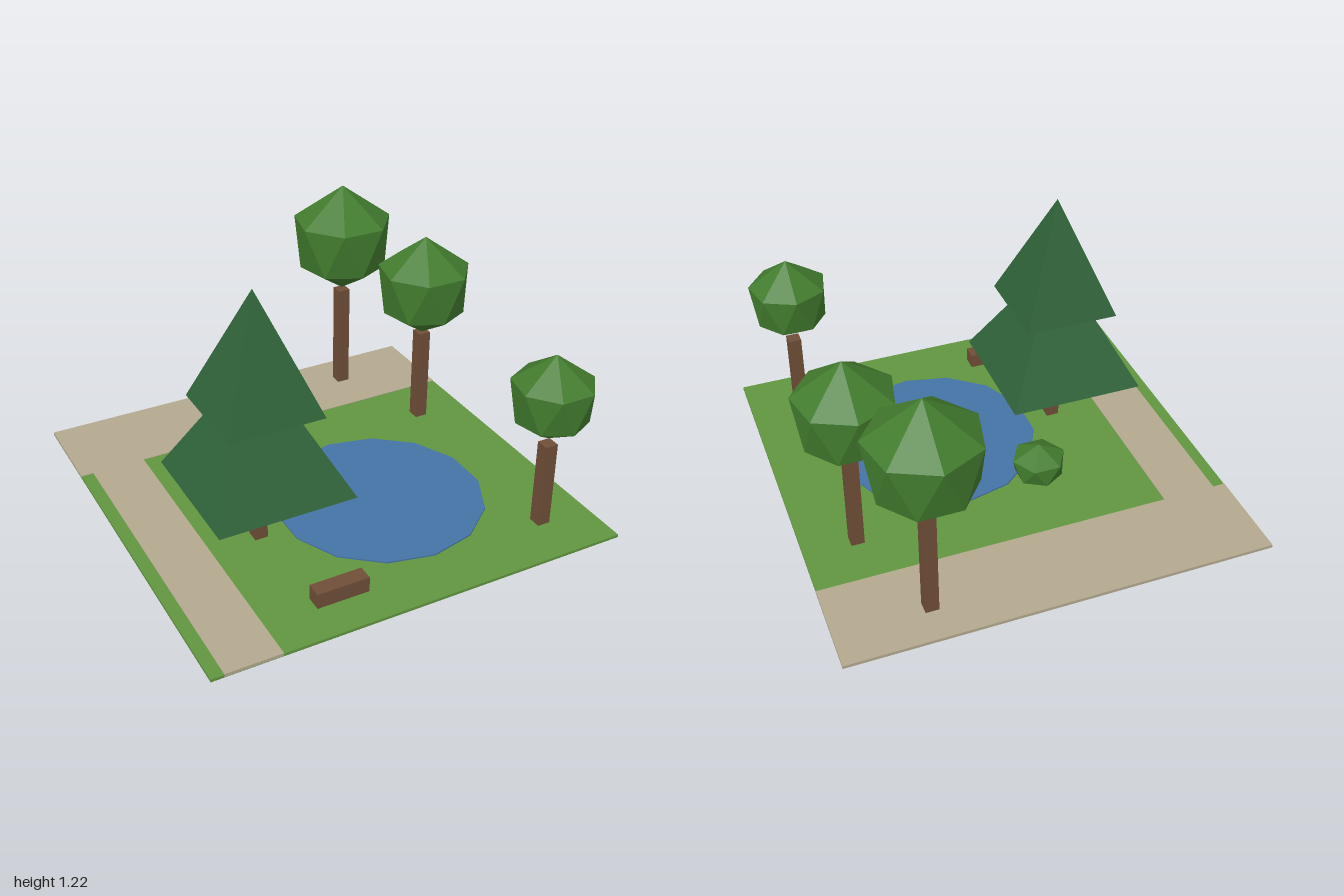
import * as THREE from 'three';
import { ConvexGeometry } from 'three/addons/geometries/ConvexGeometry.js';

const material = (name, color, flatShading = true) => {
  const m = new THREE.MeshStandardMaterial({ color, flatShading });
  m.name = name;
  return m;
};

export function createModel() {
  const park = new THREE.Group();
  park.name = 'park';

  const grass = material('grass green', 0x619640);
  const sand = material('path beige', 0xb3a98f);
  const water = material('water blue', 0x4573a6);
  const wood = material('wood brown', 0x6f4e37);
  const leaves = material('leaf green', 0x427c2e);
  const needles = material('pine green', 0x2f6339);

  const add = (name, geometry, mat, x = 0, y = 0, z = 0, parent = park) => {
    const mesh = new THREE.Mesh(geometry, mat);
    mesh.name = name;
    mesh.position.set(x, y, z);
    parent.add(mesh);
    return mesh;
  };

  // Box given by its limits on each axis
  const block = (name, mat, [x0, x1], [y0, y1], [z0, z1], parent) =>
    add(name, new THREE.BoxGeometry(x1 - x0, y1 - y0, z1 - z0), mat,
      (x0 + x1) / 2, (y0 + y1) / 2, (z0 + z1) / 2, parent);

  // Faceted foliage: a tip, two staggered rings and a lower tip
  const foliage = (sides, radius, half, turn = 0) => {
    const points = [new THREE.Vector3(0, half, 0), new THREE.Vector3(0, -half, 0)];
    for (let i = 0; i < sides; i++) {
      const a = turn + (i / sides) * Math.PI * 2;
      const b = a + Math.PI / sides;
      const low = radius * 0.885;
      points.push(new THREE.Vector3(Math.sin(a) * radius, half * 0.36, -Math.cos(a) * radius));
      points.push(new THREE.Vector3(Math.sin(b) * low, -half * 0.5, -Math.cos(b) * low));
    }
    return new ConvexGeometry(points);
  };

  // Ground, paths and pond
  block('lawn', grass, [-0.967, 0.965], [0.015, 0.028], [-0.938, 1]);
  block('backPath', sand, [-0.968, 0.966], [0.016, 0.031], [-0.939, -0.51]);
  block('sidePath', sand, [-0.91, -0.66], [0.016, 0.031], [-0.51, 1]);
  add('pond', new THREE.CylinderGeometry(0.483, 0.483, 0.016, 14), water, 0.18, 0.027, 0.272);

  // Round trees: x, z, trunk top, crown centre height, crown radius, crown half height
  const trees = [
    [0.543, -0.757, 0.559, 0.841, 0.243, 0.274],
    [0.723, -0.27, 0.497, 0.745, 0.221, 0.25],
    [0.723, 0.757, 0.436, 0.664, 0.183, 0.203],
  ];
  for (const [x, z, trunkTop, crownY, radius, half] of trees) {
    const tree = new THREE.Group();
    tree.name = 'roundTree';
    tree.position.set(x, 0, z);
    park.add(tree);
    block('trunk', wood, [-0.03, 0.03], [0.018, trunkTop], [-0.03, 0.03], tree);
    add('crown', foliage(7, radius, half), leaves, 0, crownY, 0, tree);
  }

  // Bush beside the pond
  add('bush', foliage(6, 0.125, 0.108, Math.PI / 2), leaves, -0.185, 0.108, -0.153);

  // Pine with two square tiers: half width, base height, tip height
  const pine = new THREE.Group();
  pine.name = 'pineTree';
  pine.position.set(-0.425, 0, 0.275);
  park.add(pine);
  block('trunk', wood, [-0.03, 0.03], [0.014, 0.34], [-0.03, 0.03], pine);
  for (const [half, base, tip] of [[0.313, 0.32, 0.91], [0.217, 0.682, 1.218]]) {
    const tier = new THREE.ConeGeometry(half * Math.SQRT2, tip - base, 4);
    tier.rotateY(Math.PI / 4);
    add('tier', tier, needles, 0, (base + tip) / 2, 0, pine);
  }

  // Bench
  block('bench', wood, [-0.425, -0.185], [0.018, 0.099], [0.757, 0.829]);

  return park;
}
